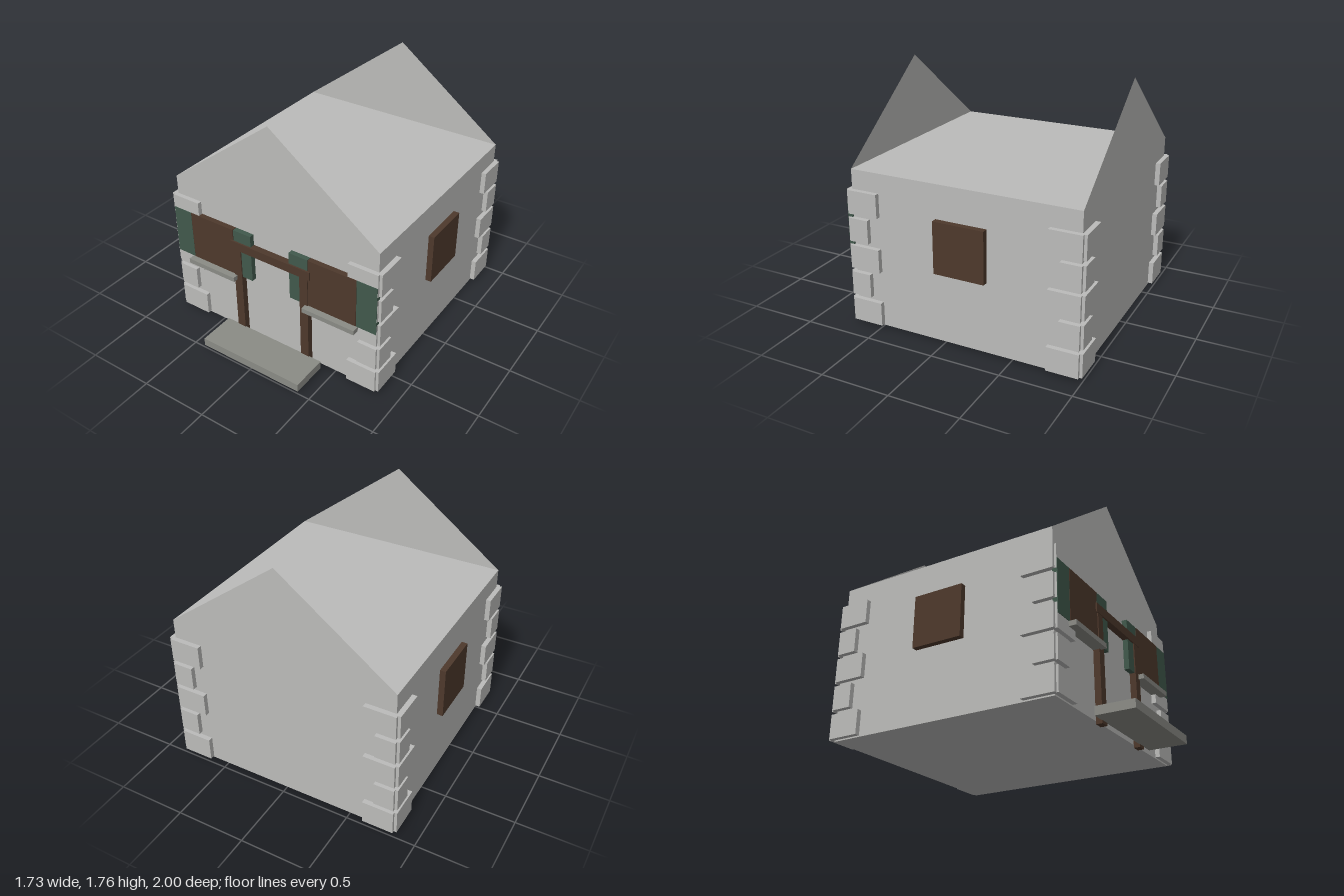
import * as THREE from 'three';

export function createModel() {
  const house = new THREE.Group();
  house.name = 'house';

  const mat = (name, color, extra = {}) => {
    const m = new THREE.MeshStandardMaterial({ color, ...extra });
    m.name = name;
    return m;
  };
  const wall = mat('pale stone', 0xbcbcba, { side: THREE.DoubleSide });
  const wood = mat('dark wood', 0x4e392c);
  const paint = mat('green paint', 0x41594c);
  const slab = mat('grey slab', 0x8b8c86);

  // Box given by its extents on each axis
  const box = (name, material, [x0, x1], [y0, y1], [z0, z1], parent = house) => {
    const mesh = new THREE.Mesh(new THREE.BoxGeometry(x1 - x0, y1 - y0, z1 - z0), material);
    mesh.position.set((x0 + x1) / 2, (y0 + y1) / 2, (z0 + z1) / 2);
    mesh.name = name;
    parent.add(mesh);
  };
  // The same extents on the left (+x) or right (-x) side
  const side = (s, a, b) => (s > 0 ? [a, b] : [-b, -a]);

  const W = 0.825, EAVE = 1.14, RIDGE = 1.76, FRONT = 0.69, BACK = -0.965;

  // Body with a flat top
  box('body', wall, [-W, W], [0.02, EAVE], [BACK, FRONT]);

  // Thin free-standing gables
  const tri = new THREE.Shape([
    new THREE.Vector2(-W, EAVE), new THREE.Vector2(W, EAVE), new THREE.Vector2(0, RIDGE),
  ]);
  for (const [name, z, turn] of [['frontGable', FRONT, 0], ['backGable', BACK, Math.PI]]) {
    const gable = new THREE.Mesh(new THREE.ShapeGeometry(tri), wall);
    gable.name = name;
    gable.position.z = z;
    gable.rotation.y = turn;
    house.add(gable);
  }

  // Corner stones, alternating long and short
  const quoins = new THREE.Group();
  quoins.name = 'cornerStones';
  house.add(quoins);
  for (const s of [1, -1]) {
    for (let row = 0; row < 5; row++) {
      const y = [0.03 + row * 0.2, 0.2 + row * 0.2];
      const cut = row % 2 ? 0.08 : 0;
      box('frontStone', wall, side(s, 0.615 + cut, 0.84), y, [FRONT - 0.01, 0.723], quoins);
      box('backStone', wall, side(s, 0.615 + cut, 0.84), y, [-1, BACK + 0.01], quoins);
      box('sideFrontStone', wall, side(s, W - 0.01, 0.86), y, [0.48 + cut, 0.708], quoins);
      box('sideBackStone', wall, side(s, W - 0.01, 0.86), y, [-0.98, -0.755 - cut], quoins);
    }
  }

  // Windows, shutters, sills and door posts
  const winY = [0.53, 0.9];
  for (const s of [1, -1]) {
    box('frontWindow', wood, side(s, 0.312, 0.685), winY, [FRONT, 0.728]);
    box('innerShutter', paint, side(s, 0.16, 0.308), winY, [FRONT, 0.727]);
    box('outerShutter', paint, side(s, 0.687, 0.838), winY, [FRONT, 0.727]);
    box('windowSill', slab, side(s, 0.29, 0.7), [0.495, 0.53], [FRONT, 0.775]);
    box('sideWindow', wood, side(s, W, 0.867), winY, [-0.325, 0.045]);
    box('doorPost', wood, side(s, 0.247, 0.312), [0, 0.75], [FRONT, 0.735]);
  }
  box('doorLintel', wood, [-0.33, 0.33], [0.75, 0.815], [FRONT, 0.738]);
  box('doorStep', slab, [-0.41, 0.41], [0.02, 0.08], [0.73, 1]);

  return house;
}
